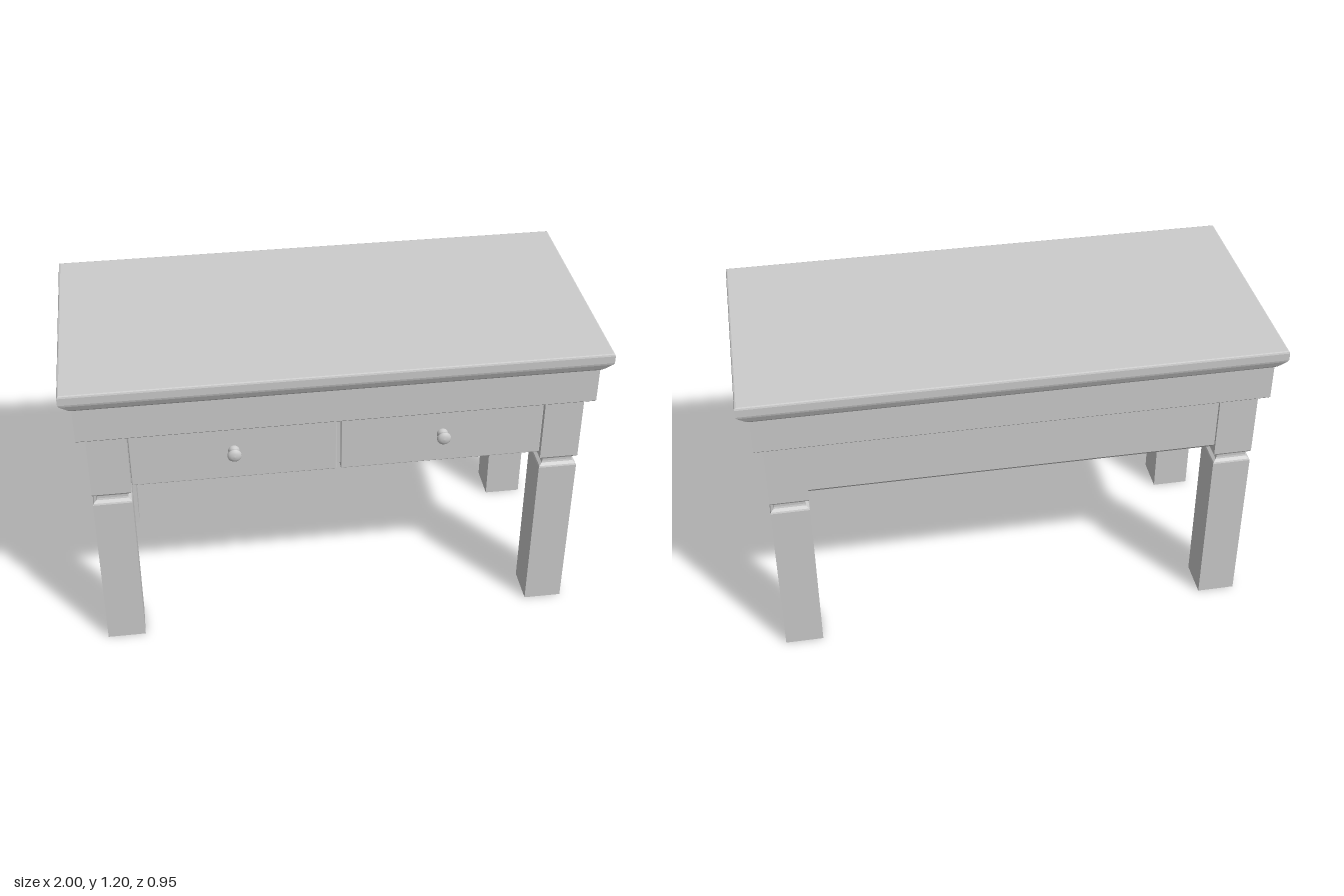
import * as THREE from 'three';
import { RoundedBoxGeometry } from 'three/addons/geometries/RoundedBoxGeometry.js';

const material = new THREE.MeshStandardMaterial({ color: 0xcccccc });
const openMaterial = new THREE.MeshStandardMaterial({ color: 0xcccccc, side: THREE.DoubleSide });

// Stack of rectangles [halfX, halfZ, y], bottom to top, with sharp facets.
function rectLoft(rings, capBottom, capTop) {
  const corners = rings.map(([hx, hz, y]) => [[-hx, y, hz], [hx, y, hz], [hx, y, -hz], [-hx, y, -hz]]);
  const pos = [];
  const quad = (a, b, c, d) => pos.push(...a, ...b, ...c, ...a, ...c, ...d);
  for (let i = 0; i < corners.length - 1; i++) {
    const lo = corners[i], hi = corners[i + 1];
    for (let k = 0; k < 4; k++) {
      const n = (k + 1) % 4;
      quad(lo[k], lo[n], hi[n], hi[k]);
    }
  }
  if (capBottom) quad(...[...corners[0]].reverse());
  if (capTop) quad(...corners[corners.length - 1]);
  const geometry = new THREE.BufferGeometry();
  geometry.setAttribute('position', new THREE.Float32BufferAttribute(pos, 3));
  geometry.computeVertexNormals();
  return geometry;
}

// Rail with chamfered lower edges: x points outward, length runs along z.
function railGeometry(thickness, length) {
  const c = 0.025, bottom = 0.73, top = 0.99;
  const shape = new THREE.Shape([
    [-thickness, top], [-thickness, bottom + 0.012], [-thickness + 0.012, bottom],
    [-c, bottom], [0, bottom + c], [0, top],
  ].map(([x, y]) => new THREE.Vector2(x, y)));
  return new THREE.ExtrudeGeometry(shape, { depth: length, bevelEnabled: false })
    .translate(0, 0, -length / 2);
}

export function createModel() {
  const model = new THREE.Group();
  model.name = 'table';
  const add = (name, geometry, x = 0, y = 0, z = 0, mat = material) => {
    const mesh = new THREE.Mesh(geometry, mat);
    mesh.name = name;
    mesh.position.set(x, y, z);
    model.add(mesh);
    return mesh;
  };

  // Top with moulded edge and deep skirt
  add('tableTop', rectLoft([
    [0.951, 0.453, 0.985], [0.955, 0.458, 0.99], [0.955, 0.458, 1.125],
    [0.967, 0.464, 1.132], [0.995, 0.475, 1.155], [1, 0.477, 1.163],
    [1, 0.477, 1.192], [0.998, 0.475, 1.198], [0.993, 0.47, 1.2],
  ], true, true));

  // Square legs with a necked collar, open underneath
  const leg = rectLoft([
    [0.0735, 0], [0.0735, 0.669], [0.071, 0.675], [0.06, 0.683], [0.058, 0.69],
    [0.058, 0.7], [0.061, 0.707], [0.07, 0.711], [0.0735, 0.717], [0.0735, 0.985],
  ].map(([h, y]) => [h, h, y]), false, true);
  for (const sx of [-1, 1]) for (const sz of [-1, 1]) {
    add(`${sz > 0 ? 'front' : 'back'}${sx > 0 ? 'Left' : 'Right'}Leg`, leg,
      sx * 0.8485, 0, sz * 0.3505, openMaterial);
  }

  // Side and back rails
  const sideRail = railGeometry(0.135, 0.56);
  add('leftRail', sideRail, 0.912);
  add('rightRail', sideRail, -0.912).rotation.y = Math.PI;
  add('backRail', railGeometry(0.05, 1.56), 0, 0, -0.412).rotation.y = Math.PI / 2;

  // Drawers, divider and knobs
  const front = new RoundedBoxGeometry(0.764, 0.246, 0.04, 2, 0.004);
  const body = new THREE.BoxGeometry(0.764, 0.23, 0.76);
  const knob = new THREE.LatheGeometry([
    [0.021, 0], [0.021, 0.014], [0.016, 0.018], [0.016, 0.03], [0.022, 0.032],
    [0.0265, 0.037], [0.026, 0.042], [0.021, 0.047], [0.012, 0.0505], [0, 0.052],
  ].map(([r, y]) => new THREE.Vector2(r, y)), 24).rotateX(Math.PI / 2);
  for (const [sx, side] of [[-1, 'right'], [1, 'left']]) {
    add(`${side}DrawerFront`, front, sx * 0.39, 0.863, 0.394);
    add(`${side}DrawerBody`, body, sx * 0.39, 0.865, 0.005);
    add(`${side}Knob`, knob, sx * 0.39, 0.865, 0.408);
  }
  add('drawerDivider', new THREE.BoxGeometry(0.016, 0.225, 0.78), 0, 0.873, 0.012);

  return model;
}
